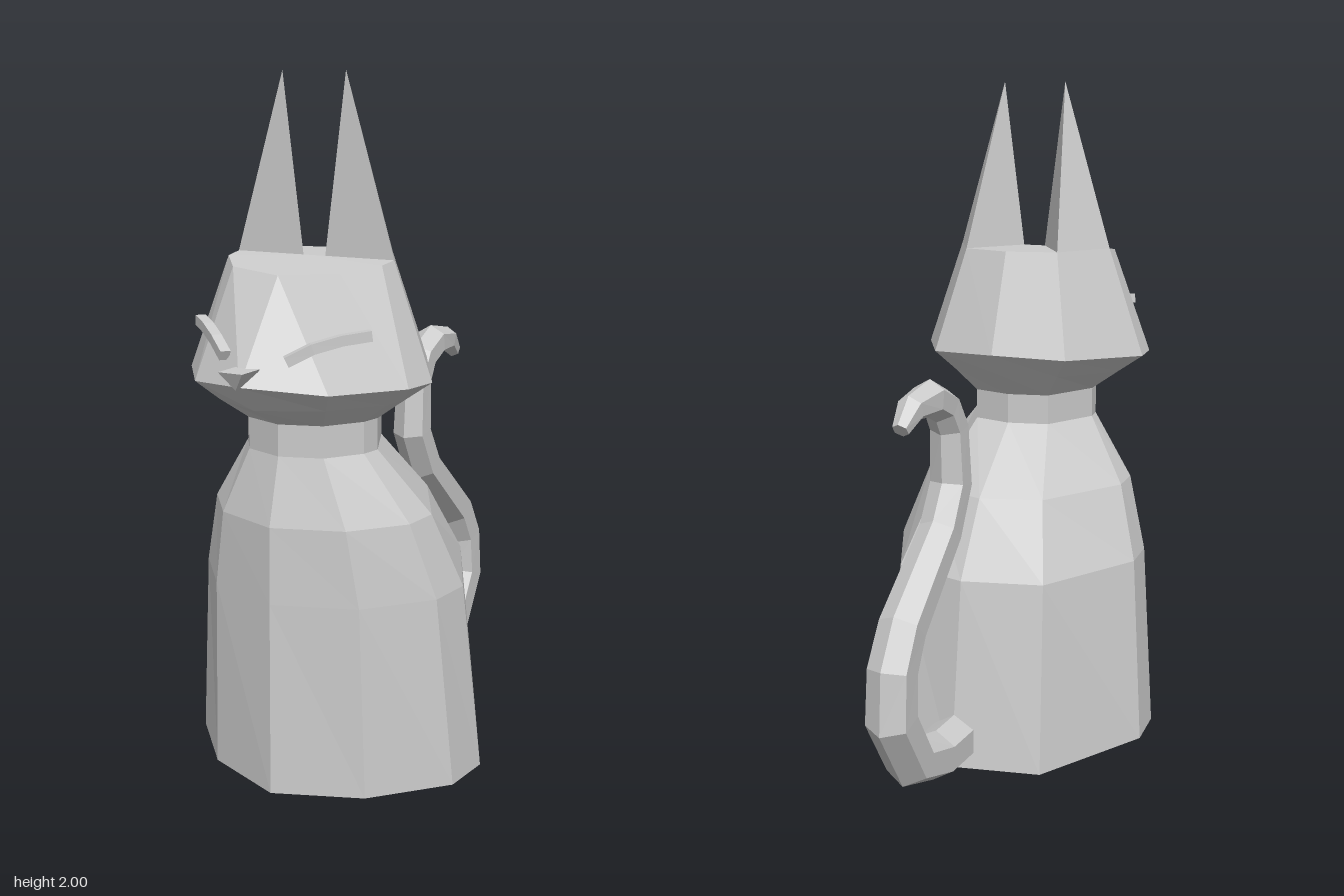
import * as THREE from 'three';
import { ConvexGeometry } from 'three/addons/geometries/ConvexGeometry.js';

const material = new THREE.MeshStandardMaterial({ color: 0xcccccc, flatShading: true });
const V = (x, y, z) => new THREE.Vector3(x, y, z);

function part(name, geometry) {
  const mesh = new THREE.Mesh(geometry, material);
  mesh.name = name;
  return mesh;
}

// Skins a list of equal-length rings, closes both ends, and turns all faces outward.
function loft(rings, topCentre) {
  const tris = [];
  const n = rings[0].length;
  const centre = (ring) => ring.reduce((s, p) => s.add(p), V(0, 0, 0)).divideScalar(n);
  const last = rings[rings.length - 1];
  const c0 = centre(rings[0]), c1 = topCentre || centre(last);
  for (let k = 0; k < n; k++) {
    const m = (k + 1) % n;
    for (let i = 0; i + 1 < rings.length; i++) {
      const a = rings[i], b = rings[i + 1];
      tris.push([a[k], a[m], b[m]], [a[k], b[m], b[k]]);
    }
    tris.push([c0, rings[0][m], rings[0][k]], [c1, last[k], last[m]]);
  }
  const volume = tris.reduce((s, [a, b, c]) => s + a.dot(b.clone().cross(c)), 0);
  const points = tris.flatMap(([a, b, c]) => (volume < 0 ? [a, c, b] : [a, b, c]));
  const geometry = new THREE.BufferGeometry().setFromPoints(points);
  geometry.computeVertexNormals();
  return geometry;
}

// Ten-sided ring from its left half, listed from back to front as [x, z, y offset].
function ring(y, half) {
  const left = half.map(([x, z, dy = 0]) => V(x, y + dy, z));
  const right = left.slice(1, -1).reverse().map((p) => V(-p.x, p.y, p.z));
  return [...left, ...right];
}

// Sweeps a polygon along a path; "side" fixes the direction of the first axis.
function sweep(path, radii, sides, side, turn = 0) {
  return loft(path.map((p, i) => {
    const tangent = path[Math.min(i + 1, path.length - 1)].clone()
      .sub(path[Math.max(i - 1, 0)]).normalize();
    const normal = side.clone().cross(tangent).normalize();
    const across = tangent.clone().cross(normal);
    return Array.from({ length: sides }, (_, k) => {
      const a = turn + (k / sides) * Math.PI * 2;
      return p.clone().addScaledVector(normal, Math.cos(a) * radii[i])
        .addScaledVector(across, Math.sin(a) * radii[i]);
    });
  }));
}

export function createModel() {
  const model = new THREE.Group();
  model.name = 'sittingCat';

  const neck = [[0, 0.11], [0.12, 0.14], [0.2, 0.31], [0.19, 0.37], [0.12, 0.47], [0, 0.51]];

  // Body, flaring from the neck to a wide base
  model.add(part('body', loft([
    ring(0, [[0, -0.3], [0.26, -0.24], [0.445, 0.125], [0.43, 0.28], [0.25, 0.475], [0, 0.575]]),
    ring(0.56, [[0, -0.23], [0.235, -0.165], [0.4, 0.165], [0.385, 0.305], [0.235, 0.48], [0, 0.565]]),
    ring(0.78, [[0, -0.1], [0.18, -0.04], [0.33, 0.23], [0.32, 0.345], [0.2, 0.49], [0, 0.56]]),
    ring(0.97, neck),
    ring(1.06, neck),
  ])));

  // Head, widest at the cheeks, with a flat crown
  model.add(part('head', loft([
    ring(1.06, neck),
    ring(1.12, [[0, 0.045, 0.01], [0.17, 0.09, 0.01], [0.285, 0.31], [0.275, 0.395], [0.17, 0.54], [0, 0.625]]),
    ring(1.175, [[0, -0.015, 0.025], [0.215, 0.04, 0.015], [0.365, 0.305], [0.35, 0.415], [0.21, 0.595], [0, 0.695, 0.02]]),
    ring(1.5, [[0, 0.09], [0.15, 0.13], [0.25, 0.31], [0.245, 0.37, -0.008], [0.17, 0.46, -0.025], [0, 0.5, -0.035]]),
  ], V(0, 1.5, 0.31))));

  // Nose
  model.add(part('nose', new ConvexGeometry([
    V(-0.037, 1.24, 0.735), V(0.037, 1.24, 0.735), V(-0.037, 1.24, 0.65),
    V(0.037, 1.24, 0.65), V(0, 1.19, 0.71), V(0, 1.19, 0.65),
  ])));

  // Ears and closed eyes, one of each per side
  for (const [s, name] of [[1, 'left'], [-1, 'right']]) {
    model.add(part(name + 'Ear', new ConvexGeometry([
      V(s * 0.1, 2, 0.305), V(s * 0.035, 1.5, 0.31), V(s * 0.25, 1.5, 0.31), V(s * 0.15, 1.5, 0.13),
    ])));
    const lid = [[0.27, 1.325, 0.49], [0.21, 1.315, 0.54], [0.15, 1.295, 0.59], [0.095, 1.262, 0.63]]
      .map(([x, y, z]) => V(s * x + 0.009, y, z));
    model.add(part(name + 'Eye', sweep(lid, [0.02, 0.02, 0.02, 0.02], 4, V(0, 1, 0), Math.PI / 4)));
  }

  // Six-sided tail curling up behind the body, as [z, y, radius]
  const tail = [
    [-0.28, 0.085, 0.073], [-0.41, 0.085, 0.073], [-0.56, 0.13, 0.073], [-0.665, 0.295, 0.073],
    [-0.655, 0.435, 0.07], [-0.595, 0.54, 0.068], [-0.36, 0.75, 0.062], [-0.29, 0.875, 0.06],
    [-0.3, 1.04, 0.055], [-0.345, 1.11, 0.053], [-0.425, 1.147, 0.053], [-0.53, 1.138, 0.04],
    [-0.59, 1.09, 0.024],
  ];
  model.add(part('tail', sweep(
    tail.map(([z, y]) => V(0, y, z)), tail.map((t) => t[2]), 6, V(1, 0, 0))));

  return model;
}
